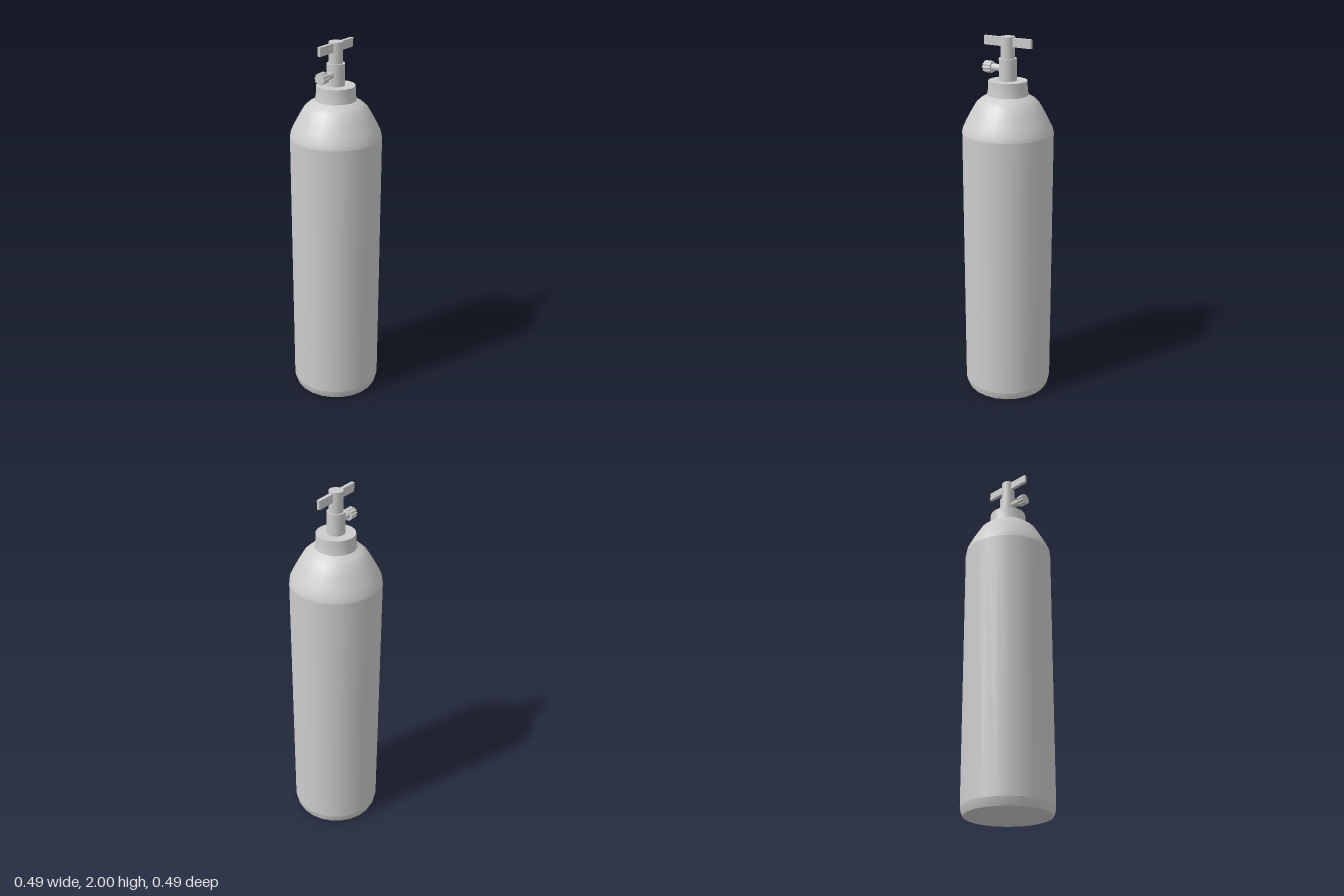
import * as THREE from 'three';

const metal = new THREE.MeshStandardMaterial({ color: 0xcccccc });
metal.name = 'grey metal';

export function createModel() {
  const model = new THREE.Group();
  model.name = 'gasCylinder';

  const add = (name, geometry, x = 0, y = 0, z = 0) => {
    const mesh = new THREE.Mesh(geometry, metal);
    mesh.name = name;
    mesh.position.set(x, y, z);
    model.add(mesh);
    return mesh;
  };
  const lathe = (name, points) =>
    add(name, new THREE.LatheGeometry(points.map(([r, y]) => new THREE.Vector2(r, y)), 24));
  const rod = (name, r, y0, y1, sides = 24) =>
    add(name, new THREE.CylinderGeometry(r, r, y1 - y0, sides), 0, (y0 + y1) / 2, 0);

  // Tank: base disc, bevelled foot, straight wall, rounded shoulder
  lathe('base', [[0, 0], [0.23, 0]]);
  lathe('foot', [[0.23, 0], [0.238, 0.02], [0.243, 0.045]]);
  lathe('wall', [[0.243, 0.045], [0.243, 1.5]]);
  lathe('shoulder', [[0.243, 1.5], [0.238, 1.525], [0.219, 1.565], [0.192, 1.615],
    [0.165, 1.66], [0.14, 1.682], [0.108, 1.7]]);

  // Neck collar with a flat top
  lathe('neck', [[0.11, 1.695], [0.104, 1.73], [0.102, 1.775]]);
  lathe('neckTop', [[0.102, 1.775], [0, 1.775]]);

  // Valve body and spindle
  rod('valveBody', 0.047, 1.775, 1.89);
  rod('spindle', 0.037, 1.89, 2);

  // Cross handle with chamfered ends
  const bar = new THREE.Shape([[-0.143, -0.007], [-0.138, -0.01], [0.138, -0.01], [0.143, -0.007],
    [0.143, 0.007], [0.138, 0.01], [-0.138, 0.01], [-0.143, 0.007]]
    .map(([x, z]) => new THREE.Vector2(x, z)));
  const handle = add('handle', new THREE.ExtrudeGeometry(bar, { depth: 0.046, bevelEnabled: false }), 0, 1.949, 0);
  handle.rotation.x = -Math.PI / 2;

  // Side outlet pipe
  const outlet = add('outletPipe', new THREE.CylinderGeometry(0.019, 0.019, 0.07, 16), -0.073, 1.834, 0);
  outlet.rotation.z = Math.PI / 2;

  // Fluted outlet knob
  const flutes = 10;
  const outline = [];
  for (let i = 0; i < flutes * 4; i++) {
    const a = (i / (flutes * 4)) * Math.PI * 2;
    const r = i % 4 < 2 ? 0.031 : 0.027;
    outline.push(new THREE.Vector2(Math.cos(a) * r, Math.sin(a) * r));
  }
  const knob = add('outletKnob', new THREE.ExtrudeGeometry(new THREE.Shape(outline),
    { depth: 0.046, bevelEnabled: false }), -0.14, 1.834, 0);
  knob.rotation.y = Math.PI / 2;

  return model;
}
